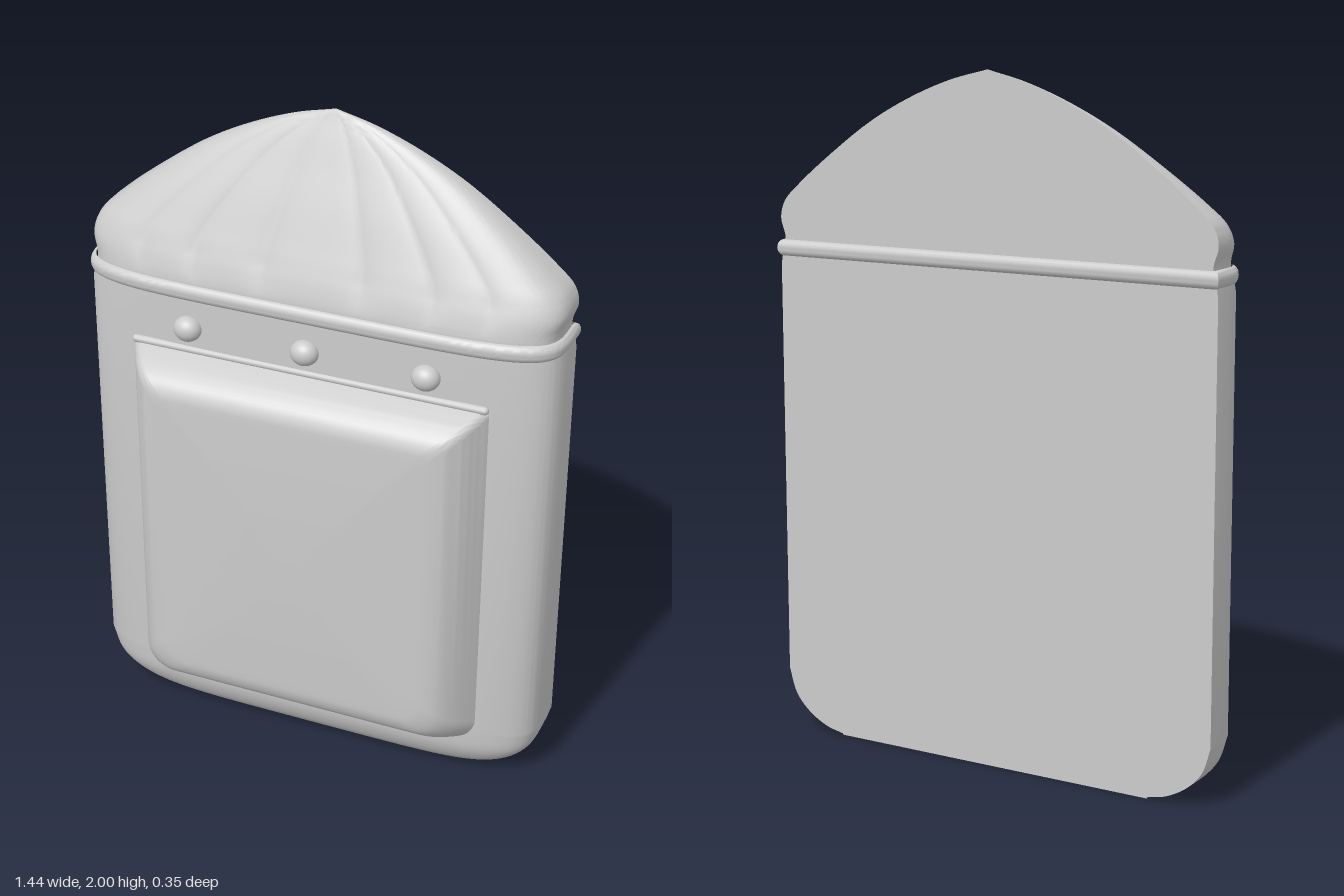
import * as THREE from 'three';
import { toCreasedNormals } from 'three/addons/utils/BufferGeometryUtils.js';

const BACK = -0.162;
const material = new THREE.MeshStandardMaterial({ color: 0xcccccc });

// Skin a stack of closed rings, each an array of [x, y, z]
function skin(name, rings, crease = 0.7) {
  const n = rings[0].length, index = [];
  for (let i = 0; i < rings.length - 1; i++) {
    for (let j = 0; j < n; j++) {
      const k = (j + 1) % n;
      const a = i * n + j, b = i * n + k, c = a + n, d = b + n;
      index.push(a, c, b, b, c, d);
    }
  }
  const geo = new THREE.BufferGeometry();
  geo.setAttribute('position', new THREE.Float32BufferAttribute(rings.flat(2), 3));
  geo.setIndex(index);
  const mesh = new THREE.Mesh(toCreasedNormals(geo, crease), material);
  mesh.name = name;
  return mesh;
}

// Horizontal section: flat back, front bulging as a superellipse
function section(w, y, front, { power = 5, back = BACK, groove = () => 0 } = {}) {
  const ring = [], N = 120;
  for (let i = 0; i <= N; i++) {
    const u = Math.cos((i / N) * Math.PI);
    const bulge = Math.pow(Math.max(0, 1 - Math.pow(Math.abs(u), power)), 1 / power);
    ring.push([w * u, y, back + (front - back) * bulge * (1 - groove(u))]);
  }
  return ring;
}

// Smooth profile through [halfWidth, y, frontZ] stations
const profile = (points, count) =>
  new THREE.CatmullRomCurve3(points.map((p) => new THREE.Vector3(...p)), false, 'centripetal').getPoints(count);

// Rounded rectangle in the xy plane, clockwise from the front
function roundedRing(x, y0, y1, rBottom, rTop, z) {
  const ring = [], corners = [
    [x - rTop, y1 - rTop, rTop, 90], [x - rBottom, y0 + rBottom, rBottom, 0],
    [-x + rBottom, y0 + rBottom, rBottom, -90], [-x + rTop, y1 - rTop, rTop, -180],
  ];
  for (const [cx, cy, r, start] of corners) {
    for (let i = 0; i <= 10; i++) {
      const a = THREE.MathUtils.degToRad(start - i * 9);
      ring.push([cx + r * Math.cos(a), cy + r * Math.sin(a), z]);
    }
  }
  return ring;
}

export function createModel() {
  const group = new THREE.Group();

  // Body with rounded lower corners and a flat underside
  const bodyRows = profile([
    [0.52, 0.004, -0.03], [0.58, 0.018, 0], [0.645, 0.055, 0.03],
    [0.69, 0.105, 0.049], [0.715, 0.18, 0.055],
  ], 20).map((p) => section(p.x, p.y, p.z));
  bodyRows.unshift(section(0.52, 0, BACK));
  bodyRows.push(section(0.715, 1.42, 0.055), section(0.705, 1.48, 0.052));
  group.add(skin('body', bodyRows));

  // Fluted dome, its grooves converging on the peak
  const grooves = [-0.73, -0.5, -0.21, 0.21, 0.5, 0.73];
  const domeRows = profile([
    [0.7, 1.47, 0.052], [0.7, 1.505, 0.05], [0.714, 1.555, 0.037], [0.7, 1.605, 0.018],
    [0.65, 1.655, -0.003], [0.53, 1.75, -0.043], [0.385, 1.85, -0.088],
    [0.25, 1.92, -0.119], [0.12, 1.97, -0.142], [0.001, 2, -0.155],
  ], 50).map((p) => {
    const t = THREE.MathUtils.clamp((p.y - 1.5) / 0.5, 0, 1);
    const depth = 0.05 * Math.min(1, t * 6);
    return section(p.x, p.y, p.z, {
      power: 5 - 2 * t,
      groove: (u) => depth * grooves.reduce((s, c) => s + Math.exp(-Math.abs(u - c) / 0.05), 0),
    });
  });
  domeRows.push(section(0.001, 2, BACK));
  group.add(skin('dome', domeRows));

  // Rounded band between body and dome, running across the back too
  const bandRows = [];
  for (let i = 0; i <= 10; i++) {
    const a = (i / 10) * Math.PI;
    const out = 0.017 * Math.sin(a);
    bandRows.push(section(0.704 + out, 1.468 - 0.025 * Math.cos(a), 0.05 + out, { back: BACK + 0.004 - out }));
  }
  group.add(skin('band', bandRows, 0.9));

  // Raised pocket panel: insets from the base edge against height
  const panelRows = profile([
    [0, 0.04, 0], [0.018, 0.075, 0], [0.045, 0.12, 0], [0.08, 0.158, 0],
    [0.12, 0.175, 0], [0.16, 0.179, 0],
  ], 20).map((p) => roundedRing(0.542 - p.x, 0.14 + p.x * 0.9, 1.288 - p.x * 0.8, 0.08, 0.025, p.y));
  panelRows.push(panelRows.at(-1).map(([, , z]) => [0, 0.7, z]));
  group.add(skin('pocketPanel', panelRows, 0.9));

  // Thin lip along the top of the panel
  const lip = new THREE.Mesh(new THREE.CapsuleGeometry(0.012, 1.06, 6, 12), material);
  lip.name = 'panelLip';
  lip.rotation.z = Math.PI / 2;
  lip.position.set(0, 1.287, 0.05);
  group.add(lip);

  // Row of studs
  for (const x of [-0.36, 0, 0.36]) {
    const stud = new THREE.Mesh(new THREE.SphereGeometry(1, 24, 16), material);
    stud.name = 'stud';
    stud.scale.set(0.042, 0.038, 0.036);
    stud.position.set(x, 1.358, 0.06);
    group.add(stud);
  }
  return group;
}
